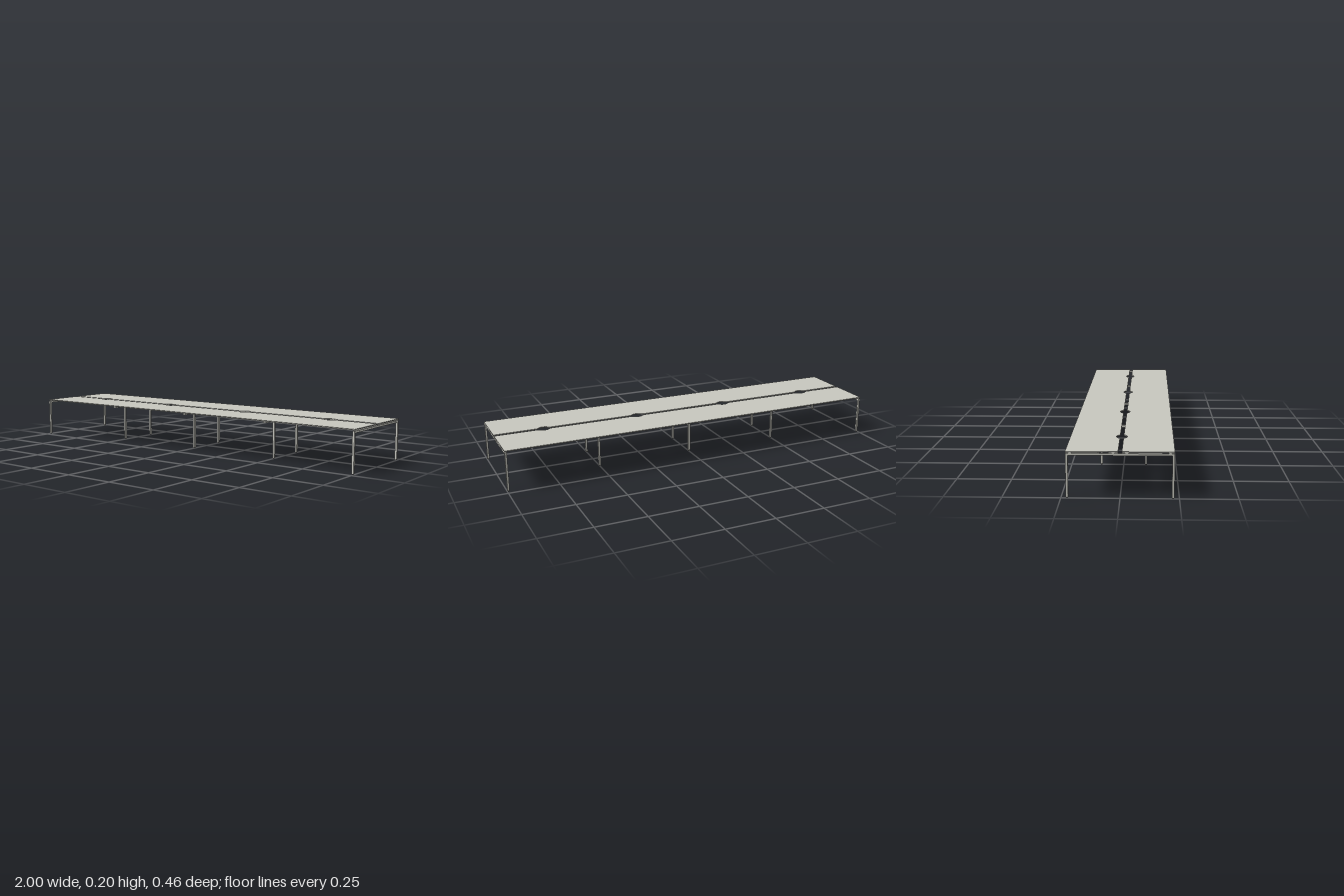
import * as THREE from 'three';

export function createModel() {
  const model = new THREE.Group();
  const topMat = new THREE.MeshStandardMaterial({ color: 0xc8c8c0 });
  topMat.name = 'warm grey';
  const footMat = new THREE.MeshStandardMaterial({ color: 0x55554f });
  footMat.name = 'dark grey';

  const TOP = 0.204, UNDER = 0.199, BEAM_TOP = 0.1955, BEAM_LOW = 0.186;
  const DEPTH = 0.229, GAP = 0.008, LEG = 0.0105, FOOT = 0.004;

  // Box given by its limits
  function box(parent, name, x0, x1, y0, y1, z0, z1) {
    const mesh = new THREE.Mesh(new THREE.BoxGeometry(x1 - x0, y1 - y0, z1 - z0), topMat);
    mesh.position.set((x0 + x1) / 2, (y0 + y1) / 2, (z0 + z1) / 2);
    mesh.name = name;
    parent.add(mesh);
  }

  // Square leg with a small round glide
  function leg(parent, x, z) {
    const h = LEG / 2;
    box(parent, 'leg', x - h, x + h, FOOT, BEAM_LOW, z - h, z + h);
    const foot = new THREE.Mesh(new THREE.CylinderGeometry(0.005, 0.004, FOOT, 16), footMat);
    foot.position.set(x, FOOT / 2, z);
    foot.name = 'footGlide';
    parent.add(foot);
  }

  // Desk panel with half a cable opening in its inner edge
  const outline = new THREE.Shape([
    [-0.25, GAP], [-0.034, GAP], [-0.012, 0.024], [0.012, 0.024],
    [0.034, GAP], [0.25, GAP], [0.25, DEPTH], [-0.25, DEPTH],
  ].map(([x, z]) => new THREE.Vector2(x, z)));
  const panel = new THREE.ExtrudeGeometry(outline, { depth: TOP - UNDER, bevelEnabled: false });
  panel.rotateX(Math.PI / 2);
  for (const x of [-0.75, -0.25, 0.25, 0.75]) {
    for (const turn of [0, Math.PI]) {
      const mesh = new THREE.Mesh(panel, topMat);
      mesh.position.set(x, TOP, 0);
      mesh.rotation.y = turn;
      mesh.name = 'deskPanel';
      model.add(mesh);
    }
  }

  // End frames: full-depth beam, outer legs and spacers under the panels
  for (const s of [-1, 1]) {
    const frame = new THREE.Group();
    frame.name = 'endFrame';
    const x = s * 0.994, h = LEG / 2;
    box(frame, 'crossBeam', x - h, x + h, BEAM_LOW, BEAM_TOP, -DEPTH, DEPTH);
    for (const t of [-1, 1]) {
      leg(frame, x, t * (DEPTH - h));
      for (const [z, w] of [[0.209, 0.012], [0.0285, 0.013]])
        box(frame, 'spacer', x - h, x + h, BEAM_TOP, UNDER, t * z - w / 2, t * z + w / 2);
    }
    model.add(frame);
  }

  // Middle frames: shorter beam with legs set inward
  for (const x of [-0.5, 0, 0.5]) {
    const frame = new THREE.Group();
    frame.name = 'middleFrame';
    box(frame, 'crossBeam', x - 0.009, x + 0.009, BEAM_LOW, BEAM_TOP, -0.19, 0.19);
    for (const t of [-1, 1]) {
      leg(frame, x, t * 0.106);
      for (const [z, w] of [[0.174, 0.014], [0.0285, 0.013]])
        box(frame, 'spacer', x - 0.008, x + 0.008, BEAM_TOP, UNDER, t * z - w / 2, t * z + w / 2);
    }
    model.add(frame);
  }

  // Long rails between the frames, one under each row of panels
  const stops = [-0.989, -0.5, 0, 0.5, 0.989];
  for (const z of [-0.106, 0.106]) {
    for (let i = 0; i < 4; i++) {
      const x0 = stops[i] + (i > 0 ? 0.009 : 0);
      const x1 = stops[i + 1] - (i < 3 ? 0.009 : 0);
      box(model, 'longRail', x0, x1, BEAM_LOW + 0.0005, BEAM_TOP, z - 0.007, z + 0.007);
      for (const [a, b] of [[x0, x0 + 0.03], [x1 - 0.03, x1]])
        box(model, 'railBracket', a, b, BEAM_TOP, UNDER, z - 0.014, z + 0.014);
    }
  }
  return model;
}
